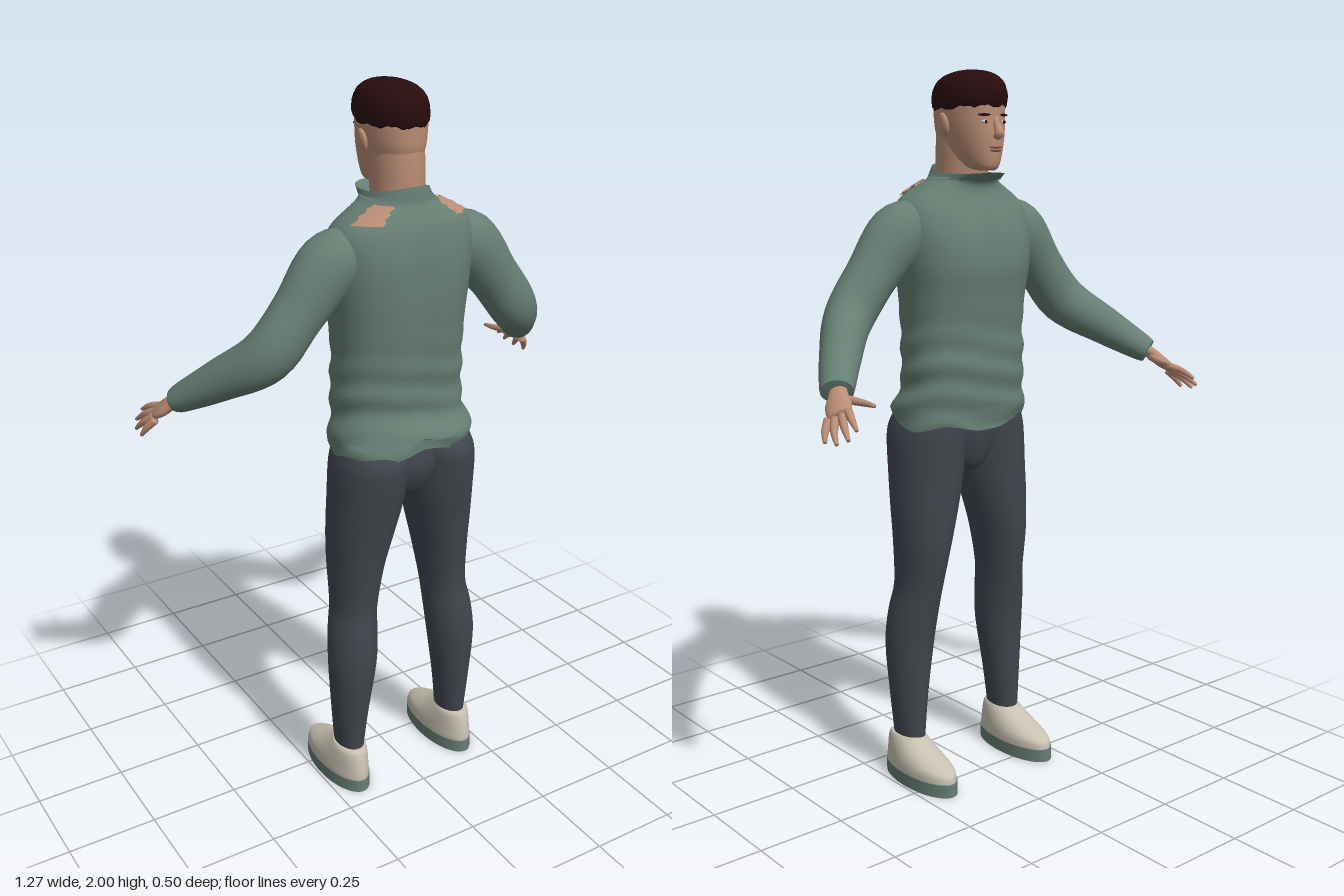
import * as THREE from 'three';

const mat = (name, color, open) => {
  const m = new THREE.MeshStandardMaterial({ color });
  m.name = name;
  if (open) m.side = THREE.DoubleSide;
  return m;
};
const V = (x, y, z) => new THREE.Vector3(x, y, z);

// Smooth interpolation through rows of numbers
function smoothRows(rows, steps) {
  const out = [];
  const at = i => rows[Math.max(0, Math.min(rows.length - 1, i))];
  for (let i = 0; i < rows.length - 1; i++) {
    for (let s = 0; s < steps; s++) {
      const t = s / steps;
      out.push(rows[i].map((b, k) => {
        const a = at(i - 1)[k], c = at(i + 1)[k], d = at(i + 2)[k];
        return b + 0.5 * t * (c - a + t * (2 * a - 5 * b + 4 * c - d + t * (3 * (b - c) + d - a)));
      }));
    }
  }
  out.push(rows[rows.length - 1]);
  return out;
}

// Joins rings of points into a skin; wrap closes each ring, caps close the ends
function skin(rings, { wrap = true, capStart = true, capEnd = true } = {}) {
  const n = rings[0].length, pts = rings.flat(), idx = [];
  for (let i = 0; i < rings.length - 1; i++) {
    for (let j = 0; j < (wrap ? n : n - 1); j++) {
      const k = (j + 1) % n, a = i * n + j, b = i * n + k;
      idx.push(a, a + n, b, b, a + n, b + n);
    }
  }
  const cap = (row, flip) => {
    const c = pts.length;
    const mid = V(0, 0, 0);
    rings[row].forEach(p => mid.addScaledVector(p, 1 / n));
    pts.push(mid);
    for (let j = 0; j < n; j++) {
      const a = row * n + j, b = row * n + (j + 1) % n;
      idx.push(c, flip ? a : b, flip ? b : a);
    }
  };
  if (wrap && capStart) cap(0, true);
  if (wrap && capEnd) cap(rings.length - 1, false);
  const g = new THREE.BufferGeometry().setFromPoints(pts);
  g.setIndex(idx);
  g.computeVertexNormals();
  return g;
}

// Upright rings from rows of [y, centre x, half width, back z, front z]
function uprightRings(rows, { s = 1, p = 2, n = 40, steps = 4, warp, from = 0, to = Math.PI * 2 } = {}) {
  const pow = v => Math.sign(v) * Math.abs(v) ** (2 / p);
  return smoothRows(rows, steps).map(([y, cx, rx, zb, zf]) => Array.from({ length: n }, (_, j) => {
    const a = from + (to - from) * j / n;
    const v = V(s * cx + rx * pow(Math.cos(a)), y, (zb + zf) / 2 + (zb - zf) / 2 * pow(Math.sin(a)));
    if (warp) warp(v, a);
    return v;
  }));
}

// Limb along rows of [x, y, z, radius along ref, radius across]
function limb(rows, { s = 1, ref = [0, 1, 0], n = 20, steps = 4, capEnd = true } = {}) {
  const path = smoothRows(rows, steps);
  const pos = path.map(r => V(s * r[0], r[1], r[2]));
  const rings = path.map((r, i) => {
    const t = pos[Math.min(i + 1, pos.length - 1)].clone().sub(pos[Math.max(i - 1, 0)]).normalize();
    const u = V(s * ref[0], ref[1], ref[2]);
    u.addScaledVector(t, -u.dot(t)).normalize();
    const v = u.clone().cross(t);
    return Array.from({ length: n }, (_, j) => {
      const a = j / n * Math.PI * 2;
      return pos[i].clone().addScaledVector(u, r[3] * Math.cos(a)).addScaledVector(v, r[4] * Math.sin(a));
    });
  });
  return skin(rings, { capEnd });
}

export function createModel() {
  const root = new THREE.Group();
  const knit = mat('sage knit', 0x667e73, true), denim = mat('charcoal trousers', 0x41464d);
  const flesh = mat('skin', 0xba8d75, true), hairMat = mat('dark hair', 0x280c0e);
  const canvas = mat('cream shoe', 0xc9c2b2), lipMat = mat('lips', 0x99655a);
  const eyeMat = mat('eye white', 0xc8c0b8);
  const add = (name, geo, m, parent = root) => {
    const mesh = new THREE.Mesh(geo, m);
    mesh.name = name;
    parent.add(mesh);
    return mesh;
  };
  const ball = (name, m, pos, size, parent) => {
    const b = add(name, new THREE.SphereGeometry(1, 20, 14), m, parent);
    b.position.set(...pos);
    b.scale.set(...size);
    return b;
  };

  // Sweater body with soft folds, spine groove, wavy hem and flared collar
  const torsoRows = [
    [1.045, 0, 0.2, 0.243, -0.03], [1.085, 0, 0.203, 0.246, -0.035], [1.15, 0, 0.187, 0.215, -0.04],
    [1.22, 0, 0.186, 0.214, -0.045], [1.3, 0, 0.182, 0.22, -0.045], [1.4, 0, 0.187, 0.228, -0.055],
    [1.48, 0, 0.198, 0.232, -0.065], [1.56, 0, 0.206, 0.23, -0.055], [1.62, 0, 0.203, 0.22, -0.03],
    [1.66, 0, 0.182, 0.208, -0.008], [1.69, 0, 0.135, 0.194, 0], [1.712, 0, 0.093, 0.183, -0.012],
    [1.742, 0, 0.076, 0.178, -0.058]];
  const foldWarp = (v, a) => {
    const low = THREE.MathUtils.smoothstep(1.42 - v.y, 0, 0.2);
    const fold = 0.004 * low * Math.sin(v.y * 75 + 2 * Math.sin(a * 2));
    v.x += fold * Math.cos(a);
    v.z += fold * Math.sin(a);
    const body = THREE.MathUtils.smoothstep(1.66 - v.y, 0, 0.15);
    v.z -= 0.012 * body * Math.exp(-((v.x / 0.035) ** 2)) * Math.sign(Math.sin(a));
    if (v.y < 1.08) v.y += 0.01 * Math.sin(a * 5) + 0.008 * Math.sin(a);
    if (v.y > 1.72) v.y += 0.012 * Math.sin(a) - 0.012 * Math.cos(a) ** 2;
  };
  add('sweaterBody', skin(uprightRings(torsoRows, { p: 2.3, n: 64, steps: 5, warp: foldWarp }),
    { capStart: false, capEnd: false }), knit);

  // Trousers seat
  add('trouserSeat', skin(uprightRings([
    [0.9, 0, 0.03, 0.16, 0.04], [0.93, 0, 0.075, 0.195, 0.015], [1.0, 0, 0.12, 0.222, -0.005],
    [1.08, 0, 0.15, 0.21, -0.01]])), denim);

  const legRows = [
    [0.1, 0.177, 0.036, 0.172, 0.065], [0.14, 0.177, 0.039, 0.175, 0.06], [0.25, 0.175, 0.051, 0.185, 0.058],
    [0.4, 0.168, 0.067, 0.2, 0.05], [0.5, 0.16, 0.067, 0.195, 0.035], [0.58, 0.15, 0.062, 0.185, 0.02],
    [0.7, 0.14, 0.074, 0.195, 0], [0.8, 0.128, 0.089, 0.21, -0.005], [0.9, 0.115, 0.1, 0.228, -0.007],
    [1.0, 0.107, 0.103, 0.244, -0.01], [1.05, 0.1, 0.098, 0.238, -0.01], [1.1, 0.095, 0.083, 0.2, 0]];
  const shoeRows = [
    [0.025, 0, 0.06, 0.202, -0.086], [0.045, 0, 0.061, 0.203, -0.086], [0.063, 0, 0.06, 0.201, -0.077],
    [0.08, 0, 0.057, 0.198, -0.04], [0.1, 0, 0.052, 0.194, 0.01], [0.12, 0, 0.046, 0.188, 0.05],
    [0.13, 0, 0.04, 0.18, 0.062]].map(r => [r[0], 0.18, ...r.slice(2)]);
  const armRows = [
    [0.13, 1.585, 0.1, 0.07, 0.07], [0.21, 1.563, 0.1, 0.086, 0.077], [0.3, 1.46, 0.1, 0.072, 0.066],
    [0.385, 1.355, 0.085, 0.07, 0.064], [0.47, 1.28, -0.005, 0.056, 0.055], [0.535, 1.222, -0.085, 0.041, 0.046],
    [0.552, 1.207, -0.108, 0.034, 0.042]];
  const fingers = [
    ['indexFinger', [0.563, 1.17, -0.17], [0.583, 1.158, -0.215], [0.594, 1.138, -0.252]],
    ['middleFinger', [0.58, 1.16, -0.17], [0.602, 1.14, -0.212], [0.614, 1.115, -0.246]],
    ['ringFinger', [0.594, 1.152, -0.16], [0.617, 1.128, -0.19], [0.628, 1.102, -0.217]],
    ['littleFinger', [0.602, 1.148, -0.143], [0.622, 1.123, -0.158], [0.632, 1.1, -0.172]],
    ['thumb', [0.548, 1.192, -0.125], [0.526, 1.187, -0.175], [0.52, 1.184, -0.222]]];

  for (const s of [1, -1]) {
    const side = s > 0 ? 'left' : 'right';
    const group = part => {
      const g = new THREE.Group();
      g.name = side + part;
      root.add(g);
      return g;
    };
    // Leg and shoe with an open-centred sole
    const leg = group('Leg');
    add('trouserLeg', skin(uprightRings(legRows, { s })), denim, leg);
    add('shoeUpper', skin(uprightRings(shoeRows, { s })), canvas, leg);
    const outline = new THREE.Shape().absellipse(0.18 * s, 0.0575, 0.063, 0.1475, 0, Math.PI * 2);
    outline.holes.push(new THREE.Path().absellipse(0.18 * s, 0.0575, 0.049, 0.13, 0, Math.PI * 2));
    const sole = new THREE.ExtrudeGeometry(outline, { depth: 0.038, bevelEnabled: false, curveSegments: 40 });
    add('shoeSole', sole.rotateX(Math.PI / 2).translate(0, 0.038, 0), knit, leg);

    // Sleeve and hand
    const arm = group('Arm');
    add('sleeve', limb(armRows, { s, n: 32, steps: 6 }), knit, arm);
    add('palm', limb([[0.54, 1.215, -0.095, 0.022, 0.018], [0.556, 1.2, -0.118, 0.026, 0.017],
      [0.572, 1.178, -0.143, 0.035, 0.016], [0.584, 1.162, -0.168, 0.031, 0.012]],
      { s, ref: [0.042, -0.025, 0.03] }), flesh, arm);
    for (const [name, a, b, c] of fingers) {
      add(name, limb([[...a, 0.012, 0.012], [...b, 0.0095, 0.0095], [...c, 0.005, 0.005]], { s, n: 10 }), flesh, arm);
    }

    // Bare shoulder patch lying on the knit
    const mid = s > 0 ? 0.62 : Math.PI - 0.62;
    const patchRings = uprightRings(torsoRows, { p: 2.3, n: 12, steps: 5, from: mid - 0.36, to: mid + 0.36 })
      .slice(46, 55).map((ring, i) => ring.map((v, j) => {
        const edge = Math.sin(i * 2.1 + j) * 0.003;
        return V(v.x + s * 0.002 + edge, v.y + 0.004, v.z + 0.002 + edge);
      }));
    add(side + 'ShoulderSkin', skin(patchRings, { wrap: false }), flesh);
  }

  // Neck and head
  add('neck', skin(uprightRings([
    [1.64, 0, 0.075, 0.165, 0.03], [1.72, 0, 0.068, 0.164, 0.01], [1.8, 0, 0.068, 0.164, 0],
    [1.86, 0, 0.066, 0.16, 0]])), flesh);
  const head = new THREE.Group();
  head.name = 'head';
  root.add(head);
  add('face', skin(uprightRings([
    [1.735, 0, 0.02, 0, -0.04], [1.747, 0, 0.04, 0.06, -0.052], [1.78, 0, 0.06, 0.135, -0.058],
    [1.83, 0, 0.073, 0.161, -0.061], [1.87, 0, 0.079, 0.166, -0.058], [1.92, 0, 0.08, 0.165, -0.057],
    [1.96, 0, 0.068, 0.145, -0.04], [1.98, 0, 0.04, 0.1, 0]], { p: 2.15 })), flesh, head);
  add('nose', limb([[0, 1.873, -0.052, 0.008, 0.008], [0, 1.85, -0.064, 0.01, 0.01],
    [0, 1.832, -0.073, 0.012, 0.014], [0, 1.822, -0.062, 0.008, 0.012]], { ref: [0, 0, 1], n: 14 }), flesh, head);
  ball('upperLip', lipMat, [0, 1.797, -0.059], [0.022, 0.004, 0.007], head);
  ball('lowerLip', lipMat, [0, 1.789, -0.058], [0.019, 0.005, 0.007], head);
  for (const s of [1, -1]) {
    const side = s > 0 ? 'left' : 'right';
    ball(side + 'Eye', eyeMat, [s * 0.031, 1.862, -0.05], [0.012, 0.005, 0.006], head);
    ball(side + 'Iris', hairMat, [s * 0.031, 1.862, -0.055], [0.004, 0.0045, 0.003], head);
    ball(side + 'Brow', hairMat, [s * 0.033, 1.88, -0.05], [0.018, 0.0035, 0.007], head).rotation.y = -s * 0.3;
    ball(side + 'Ear', flesh, [s * 0.085, 1.857, 0.057], [0.01, 0.03, 0.018], head).rotation.z = -s * 0.2;
  }

  // Cropped hair with a rippled surface and a raised front hairline
  add('hair', skin(uprightRings([
    [1.895, 0, 0.081, 0.168, -0.058], [1.905, 0, 0.086, 0.172, -0.064], [1.935, 0, 0.087, 0.172, -0.067],
    [1.965, 0, 0.077, 0.16, -0.058], [1.985, 0, 0.057, 0.132, -0.035], [1.996, 0, 0.03, 0.095, 0],
    [2.0, 0, 0.005, 0.06, 0.045]], {
    n: 64, warp: (v, a) => {
      const k = 0.0015 * Math.sin(a * 22 + v.y * 160);
      v.x += k * Math.cos(a);
      v.z += k * Math.sin(a);
      if (v.y < 1.91) v.y += 0.006 * Math.max(0, -Math.sin(a)) + 0.003 * Math.sin(a * 9);
    }
  })), hairMat, head);

  return root;
}
